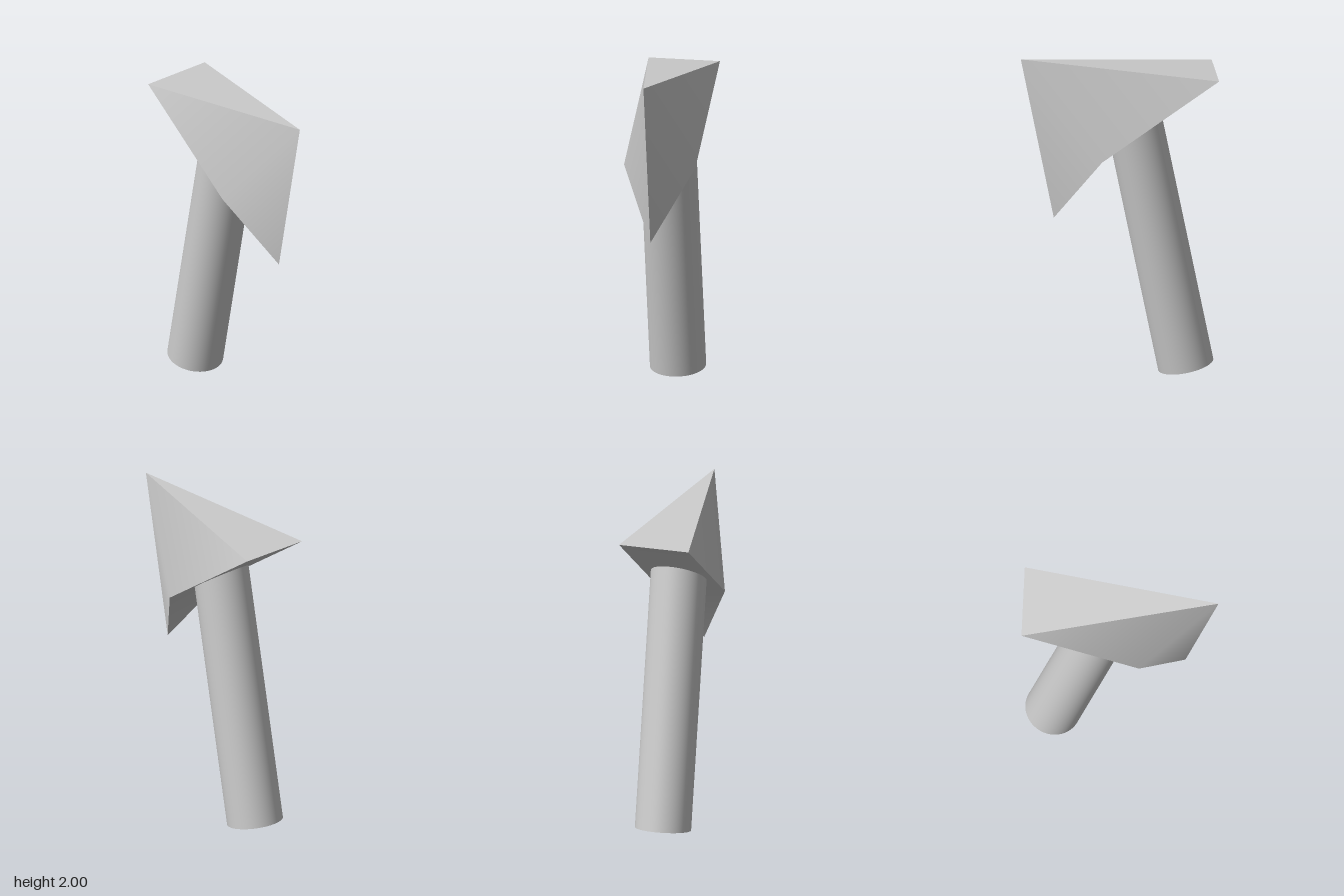
import * as THREE from 'three';
import { toCreasedNormals } from 'three/addons/utils/BufferGeometryUtils.js';

export function createModel() {
  const group = new THREE.Group();
  const material = new THREE.MeshStandardMaterial({ color: 0xcccccc });

  // Tilted round handle, its top end buried in the head
  const bottom = new THREE.Vector3(-0.41, 0.035, 0);
  const top = new THREE.Vector3(-0.075, 1.7, 0);
  const axis = top.clone().sub(bottom);
  const handle = new THREE.Mesh(new THREE.CylinderGeometry(0.17, 0.17, axis.length(), 64), material);
  handle.name = 'handle';
  handle.position.copy(bottom).add(top).multiplyScalar(0.5);
  handle.quaternion.setFromUnitVectors(new THREE.Vector3(0, 1, 0), axis.normalize());
  group.add(handle);

  // Wedge head: a thick back narrowing to one upright cutting edge
  const corners = [
    0.59, 2, 0, // 0 edge top
    0.39, 0.99, 0, // 1 edge bottom
    -0.59, 1.89, 0.22, -0.59, 1.89, -0.22, // 2, 3 back corners
    0.12, 1.4, 0.22, 0.12, 1.4, -0.22, // 4, 5 lower notch corners
  ];
  const faces = [
    0, 3, 2, // top
    0, 2, 4, 0, 4, 1, // front cheek
    0, 5, 3, 0, 1, 5, // back cheek
    2, 3, 5, 2, 5, 4, // underside
    4, 5, 1, // lower bevel
  ];
  const geometry = new THREE.BufferGeometry();
  geometry.setAttribute('position', new THREE.Float32BufferAttribute(corners, 3));
  geometry.setIndex(faces);
  // The fold across each cheek is shaded smooth, the other edges stay sharp
  const head = new THREE.Mesh(toCreasedNormals(geometry, 0.6), material);
  head.name = 'wedgeHead';
  group.add(head);

  return group;
}
